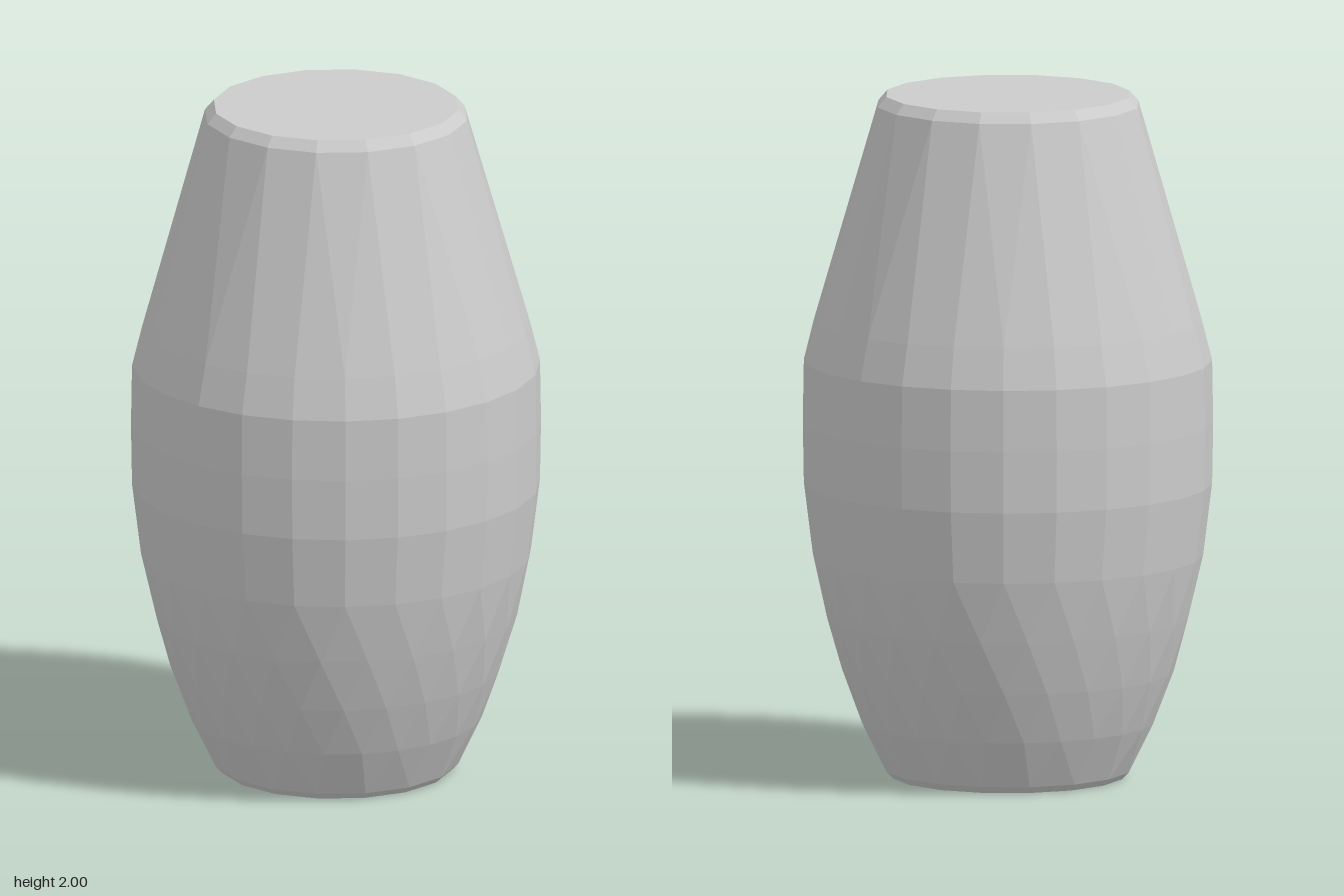
import * as THREE from 'three';
import { ConvexGeometry } from 'three/addons/geometries/ConvexGeometry.js';

// One horizontal polygon of corners, starting half a side off the axis or on it.
function ring(y, radius, sides, shift = 0.5) {
  const points = [];
  for (let i = 0; i < sides; i++) {
    const a = ((i + shift) / sides) * Math.PI * 2;
    points.push(new THREE.Vector3(Math.sin(a) * radius, y, Math.cos(a) * radius));
  }
  return points;
}

export function createModel() {
  const group = new THREE.Group();
  group.name = 'barrelVase';

  // Faceted convex shell: bevelled base, carved belly, straight tapering shoulder, bevelled top
  const points = [
    ...ring(0, 0.338, 16),
    ...ring(0.02, 0.358, 16),
    ...ring(0.16, 0.425, 24, 0),
    ...ring(0.31, 0.481, 24),
    ...ring(0.47, 0.527, 24, 0),
    ...ring(0.65, 0.566, 24),
    ...ring(0.86, 0.592, 24),
    ...ring(1.04, 0.595, 24),
    ...ring(1.22, 0.592, 24),
    ...ring(1.34, 0.562, 24),
    ...ring(1.97, 0.384, 16),
    ...ring(2, 0.358, 16),
  ];
  const body = new THREE.Mesh(
    new ConvexGeometry(points),
    new THREE.MeshStandardMaterial({ color: 0xcccccc, flatShading: true })
  );
  body.name = 'body';
  group.add(body);
  return group;
}
